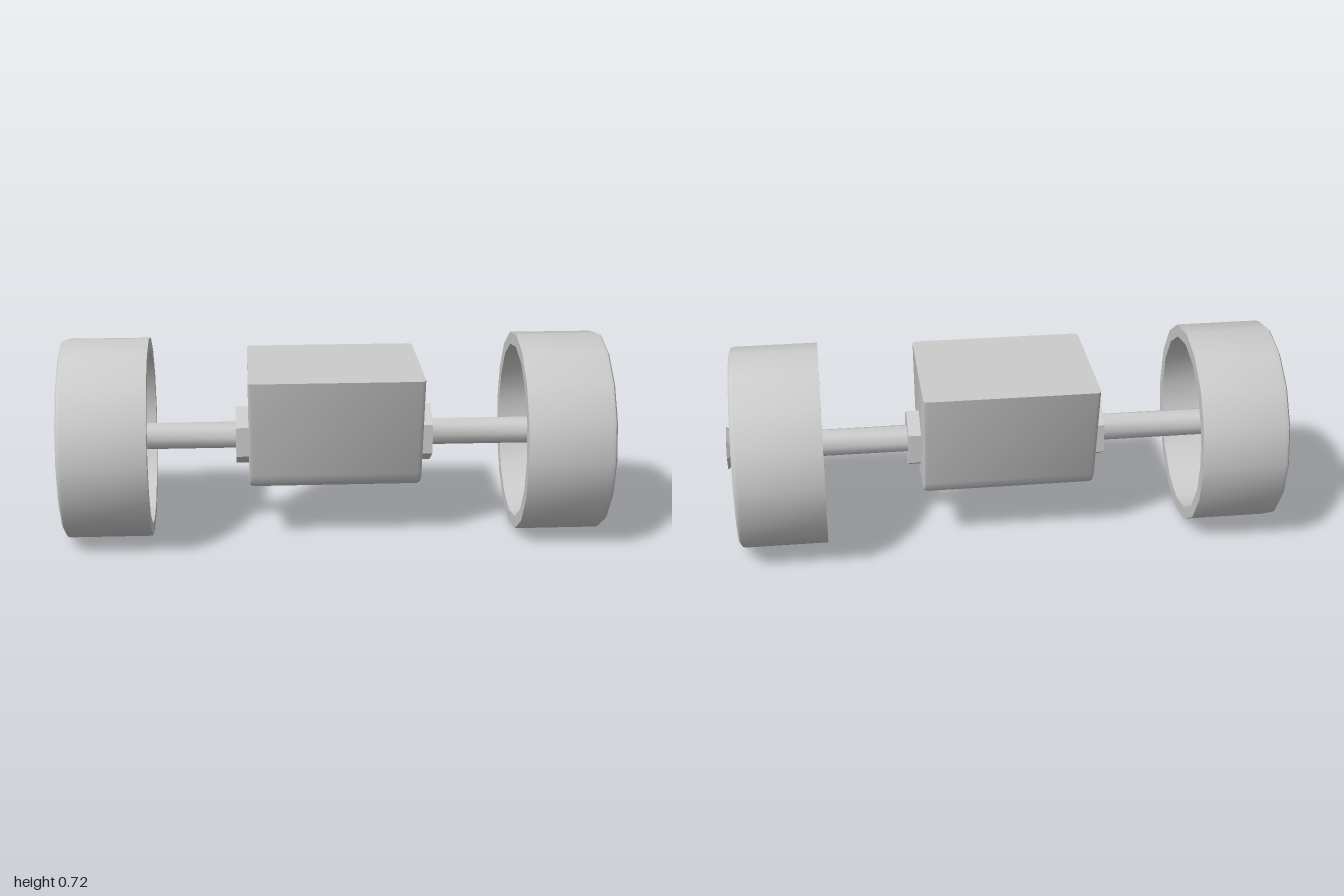
import * as THREE from 'three';
import { toCreasedNormals } from 'three/addons/utils/BufferGeometryUtils.js';

const AXLE_Y = 0.365;
const grey = new THREE.MeshStandardMaterial({ color: 0xcccccc });

function part(name, geometry, crease, parent) {
  const mesh = new THREE.Mesh(toCreasedNormals(geometry, crease), grey);
  mesh.name = name;
  parent.add(mesh);
  return mesh;
}

// Tapered block: slanted sides, rounded bottom, softened ends, flat top
function bodyGeometry() {
  const s = new THREE.Shape();
  s.moveTo(0.26, 0.63);
  s.lineTo(-0.26, 0.63);
  s.lineTo(-0.165, 0.26);
  s.quadraticCurveTo(-0.15, 0.205, -0.1, 0.205);
  s.lineTo(0.1, 0.205);
  s.quadraticCurveTo(0.15, 0.205, 0.165, 0.26);
  s.closePath();
  const b = 0.015;
  const g = new THREE.ExtrudeGeometry(s, {
    depth: 0.62 - 2 * b, curveSegments: 4,
    bevelSize: b, bevelThickness: b, bevelOffset: -b, bevelSegments: 2,
  });
  // keep the top edge level all the way to the ends
  const p = g.attributes.position;
  for (let i = 0; i < p.count; i++) if (p.getY(i) > 0.58) p.setY(i, 0.63);
  return g.translate(0, 0, b - 0.31).rotateY(Math.PI / 2);
}

// Cup-shaped wheel, open toward the body
function wheelGeometry() {
  const profile = [
    [0, 0.945], [0.318, 0.945], [0.318, 0.66], [0.362, 0.66],
    [0.362, 0.955], [0.359, 0.966], [0.35, 0.972], [0, 0.972],
  ].map(([r, x]) => new THREE.Vector2(r, x));
  return new THREE.LatheGeometry(profile, 16).rotateZ(-Math.PI / 2).rotateX(0.026);
}

// Eight-sided countersunk head with a cross recess
function screwGeometry() {
  const s = new THREE.Shape();
  for (let i = 0; i < 8; i++) {
    const a = i * Math.PI / 4;
    s[i ? 'lineTo' : 'moveTo'](0.08 * Math.cos(a), 0.08 * Math.sin(a));
  }
  s.closePath();
  const w = 0.0155, l = 0.051, cross = [];
  for (let i = 0; i < 4; i++) {
    const turn = 0.74 + i * Math.PI / 2;
    for (const [x, y] of [[l, -w], [l, w], [w, w]]) {
      cross.push(new THREE.Vector2(x, y).rotateAround(new THREE.Vector2(), turn));
    }
  }
  s.holes.push(new THREE.Path(cross));
  const g = new THREE.ExtrudeGeometry(s, { depth: 0.035, bevelEnabled: false });
  // taper toward the wheel
  const p = g.attributes.position;
  for (let i = 0; i < p.count; i++) {
    if (p.getZ(i) < 0.01) p.setXY(i, p.getX(i) * 0.65, p.getY(i) * 0.65);
  }
  return g.rotateY(Math.PI / 2).translate(0.965, 0, 0);
}

// Wheel, screw, nut and half axle for one side, along +x
function buildSide(name) {
  const side = new THREE.Group();
  side.name = name;
  part('wheel', wheelGeometry(), 0.5, side);
  part('screwHead', screwGeometry(), 0.3, side);
  const nut = new THREE.CylinderGeometry(0.108, 0.108, 0.06, 6, 1, false, Math.PI / 2);
  part('nut', nut.rotateZ(-Math.PI / 2).translate(0.325, 0, 0), 0.3, side);
  const axle = new THREE.CylinderGeometry(0.05, 0.05, 0.67, 8);
  part('axle', axle.rotateZ(-Math.PI / 2).translate(0.625, 0, 0), 0.9, side);
  side.position.y = AXLE_Y;
  return side;
}

export function createModel() {
  const model = new THREE.Group();
  model.name = 'wheeledAxle';
  part('body', bodyGeometry(), 0.6, model);
  const left = buildSide('leftSide');
  const right = buildSide('rightSide');
  right.rotation.y = Math.PI;
  model.add(left, right);
  return model;
}
